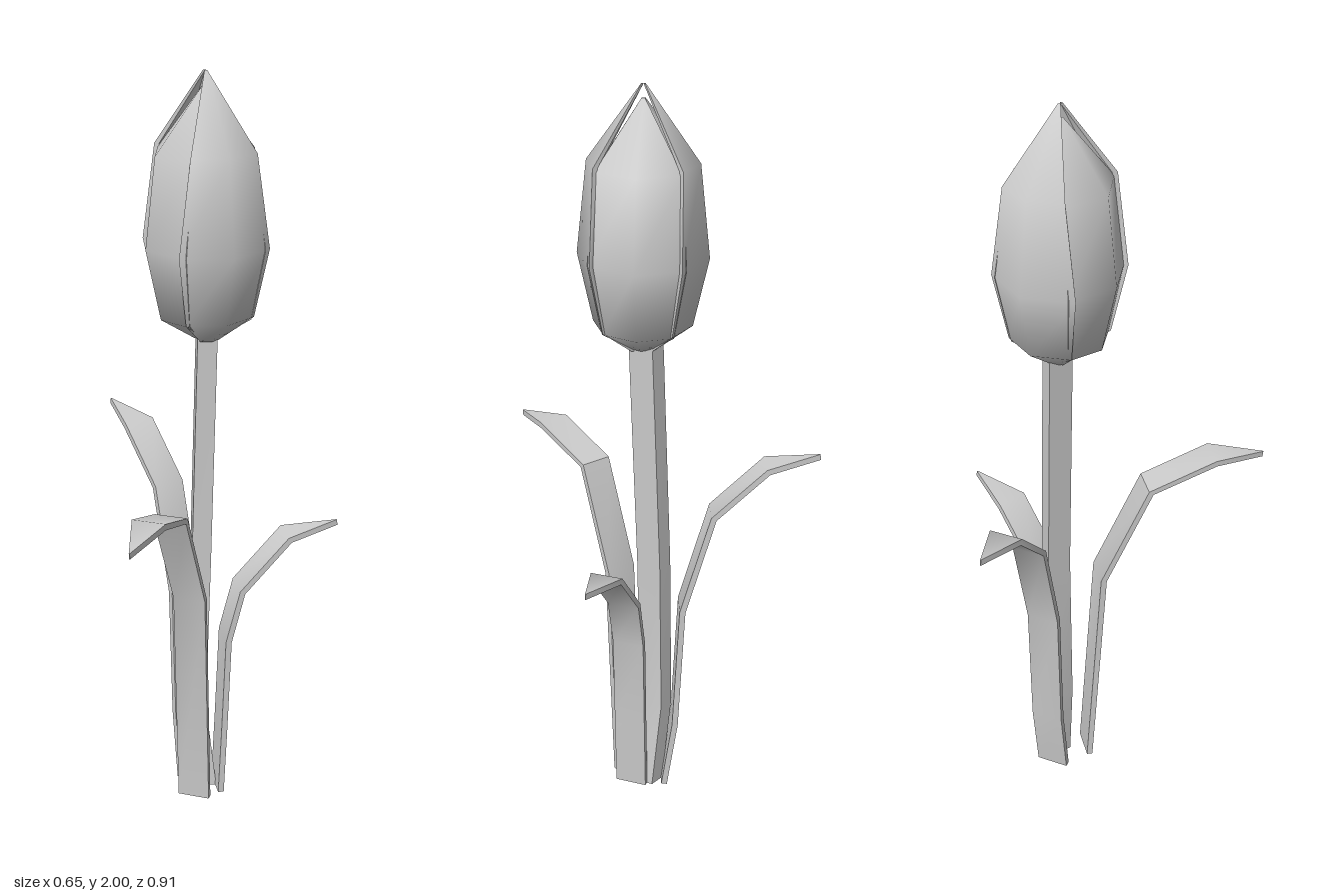
import * as THREE from 'three';
import { toCreasedNormals } from 'three/addons/utils/BufferGeometryUtils.js';

const V = (x, y, z) => new THREE.Vector3(x, y, z);
const material = new THREE.MeshStandardMaterial({ color: 0xcccccc, side: THREE.DoubleSide });

// Solid skin over equal-sized rings of points, capped at both ends
function loft(rings, crease) {
  const pos = [];
  const tri = (a, b, c) => {
    const area = b.clone().sub(a).cross(c.clone().sub(a)).length();
    if (area > 1e-8) pos.push(...a.toArray(), ...b.toArray(), ...c.toArray());
  };
  const n = rings[0].length;
  for (let i = 0; i < rings.length - 1; i++) {
    const p = rings[i], q = rings[i + 1];
    for (let j = 0; j < n; j++) {
      const k = (j + 1) % n;
      tri(p[j], p[k], q[k]);
      tri(p[j], q[k], q[j]);
    }
  }
  const first = rings[0], last = rings[rings.length - 1];
  // strip caps also suit the curved petal sections
  for (let a = 0, b = n - 1; b - a > 1; a++, b--) {
    tri(first[a], first[b], first[b - 1]);
    tri(last[a], last[b - 1], last[b]);
    if (b - a > 2) {
      tri(first[a], first[b - 1], first[a + 1]);
      tri(last[a], last[a + 1], last[b - 1]);
    }
  }
  const geo = new THREE.BufferGeometry();
  geo.setAttribute('position', new THREE.Float32BufferAttribute(pos, 3));
  return toCreasedNormals(geo, crease);
}

// Thick ribbon along a path, coming to a point at its last station
function leaf(path, width, half = 0.044, thick = 0.008) {
  const pts = path.map(p => V(...p));
  const rings = pts.map((c, i) => {
    const t = pts[Math.min(i + 1, pts.length - 1)].clone().sub(pts[Math.max(i - 1, 0)]).normalize();
    const w = V(width[0], 0, width[1]).normalize();
    const n = t.clone().cross(w).normalize();
    const h = i === pts.length - 1 ? 0.001 : half;
    return [[1, 1], [-1, 1], [-1, -1], [1, -1]].map(([a, b]) =>
      c.clone().addScaledVector(w, a * h).addScaledVector(n, b * thick));
  });
  return loft(rings, 0.8);
}

// One cupped petal: rows of [height, radius, half angle in degrees]
function petal(angle, rows) {
  const rings = rows.map(([y, r, half]) => {
    const inner = Math.max(r - 0.014, 0);
    const point = (s, rad) => {
      const a = THREE.MathUtils.degToRad(angle + s * half);
      return V(Math.sin(a) * rad, y, Math.cos(a) * rad);
    };
    return [point(-1, r), point(0, r), point(1, r), point(1, inner), point(0, inner), point(-1, inner)];
  });
  return loft(rings, 1.2);
}

export function createModel() {
  const model = new THREE.Group();
  const add = (parent, name, geo) => {
    const mesh = new THREE.Mesh(geo, material);
    mesh.name = name;
    parent.add(mesh);
  };

  // Four-sided stem with a slight bow
  const section = [[-0.06, 0], [-0.01, 0.01], [-0.008, -0.055], [-0.05, -0.07]];
  const bow = [[0, -0.005, -0.005], [0.25, -0.03, -0.022], [0.7, -0.015, -0.02], [1.36, 0, 0]];
  add(model, 'stem', loft(bow.map(([y, dx, dz]) => section.map(([x, z]) => V(x + dx, y, z + dz))), 0.6));

  // Three arching leaves
  const leaves = new THREE.Group();
  leaves.name = 'leaves';
  model.add(leaves);
  add(leaves, 'leftLeaf', leaf(
    [[-0.01, 0, 0], [0, 0.2, 0], [0.012, 0.47, 0], [0.05, 0.615, 0], [0.18, 0.757, 0], [0.322, 0.778, 0]], [0, 1]));
  add(leaves, 'frontLeaf', leaf(
    [[-0.085, 0, 0.04], [-0.1, 0.63, 0.07], [-0.17, 0.91, 0.17], [-0.255, 0.972, 0.328], [-0.325, 0.952, 0.452]], [0.86, 0.51]));
  add(leaves, 'backLeaf', leaf(
    [[-0.068, 0, -0.075], [-0.075, 0.2, -0.103], [-0.078, 0.565, -0.12], [-0.105, 0.85, -0.195],
      [-0.16, 0.985, -0.325], [-0.215, 1.008, -0.455]], [0.93, -0.38]));

  // Closed bud: outer front and back petals lap over the two side petals
  const bud = new THREE.Group();
  bud.name = 'bud';
  bud.position.set(-0.035, 0, -0.02);
  model.add(bud);
  const outer = [[1.32, 0.035, 47], [1.39, 0.128, 47], [1.57, 0.168, 47], [1.81, 0.142, 39], [2, 0.006, 39]];
  const inner = [[1.325, 0.032, 47], [1.385, 0.124, 47], [1.57, 0.163, 49], [1.8, 0.135, 53], [1.965, 0.006, 53]];
  ['front', 'left', 'back', 'right'].forEach((side, i) =>
    add(bud, side + 'Petal', petal(12 + i * 90, i % 2 ? inner : outer)));

  return model;
}
